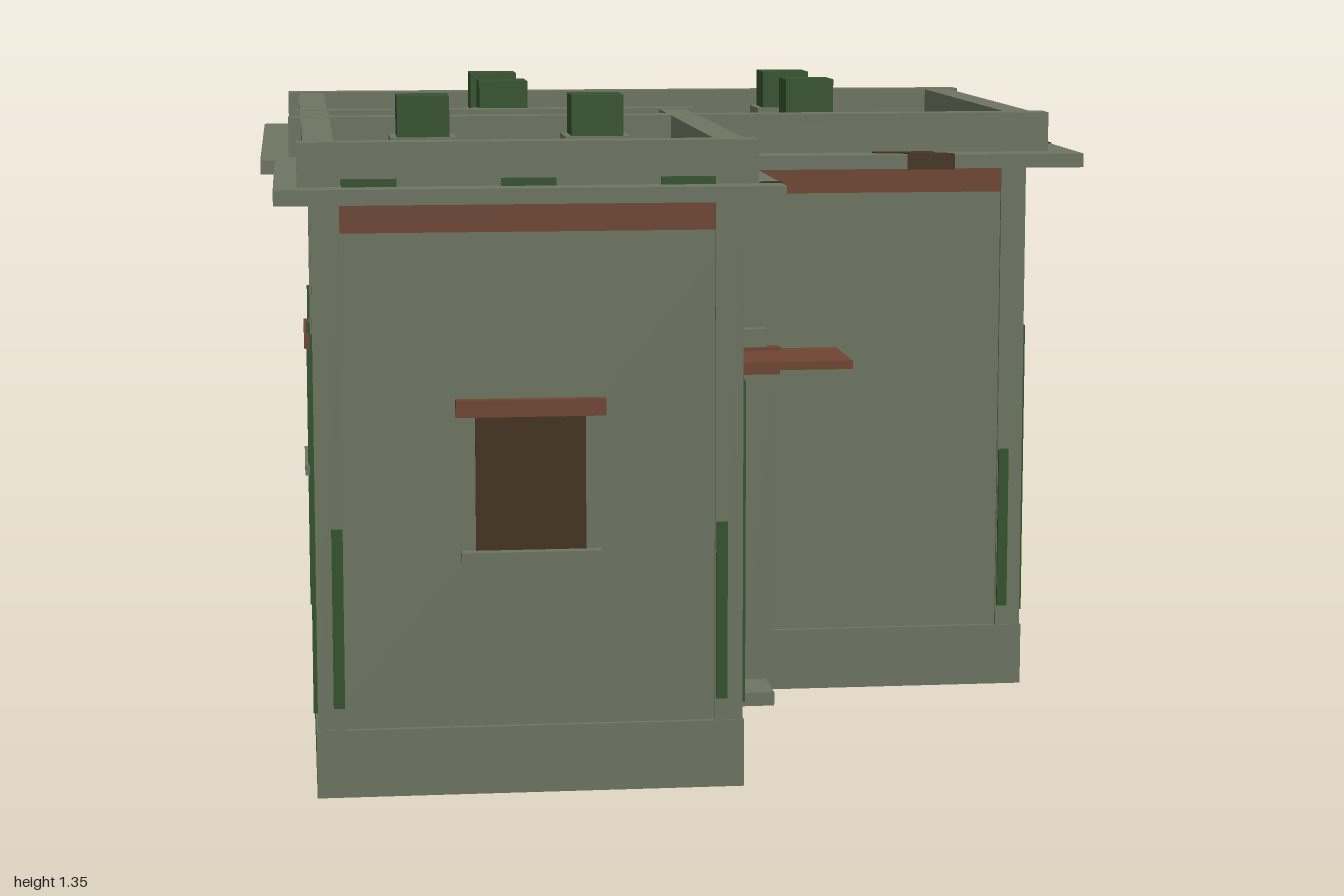
import * as THREE from 'three';

const mat = (name, color) => {
  const m = new THREE.MeshStandardMaterial({ color });
  m.name = name;
  return m;
};

export function createModel() {
  const root = new THREE.Group();
  root.name = 'house';
  const plaster = mat('greyGreenPlaster', 0x6d7562);
  const red = mat('rustRed', 0x6e4533);
  const brown = mat('darkBrown', 0x433321);
  const green = mat('deepGreen', 0x34522d);

  // Box from its minimum and maximum corners
  const box = (name, m, x0, x1, y0, y1, z0, z1, parent = root) => {
    const mesh = new THREE.Mesh(new THREE.BoxGeometry(x1 - x0, y1 - y0, z1 - z0), m);
    mesh.position.set((x0 + x1) / 2, (y0 + y1) / 2, (z0 + z1) / 2);
    mesh.name = name;
    parent.add(mesh);
    return mesh;
  };

  // One rectangular volume: recessed walls, frieze, corner posts, open plinth
  const block = (name, x0, x1, z0, z1) => {
    const g = new THREE.Group();
    g.name = name;
    root.add(g);
    const r = 0.008, f = 0.005, p = 0.055, t = 0.02;
    box('walls', plaster, x0 + r, x1 - r, 0.13, 1.11, z0 + r, z1 - r, g);
    box('frieze', red, x0 + f, x1 - f, 1.11, 1.17, z0 + f, z1 - f, g);
    const e = 0.003, a = x0 - e, b = x1 + e, c = z0 - e, d = z1 + e;
    box('plinthBack', plaster, a, b, 0, 0.135, c, c + t, g);
    box('plinthFront', plaster, a, b, 0, 0.135, d - t, d, g);
    box('plinthSide', plaster, a, a + t, 0, 0.135, c + t, d - t, g);
    box('plinthSide', plaster, b - t, b, 0, 0.135, c + t, d - t, g);
    for (const sx of [-1, 1]) for (const sz of [-1, 1]) {
      const px = sx < 0 ? x0 : x1 - p, pz = sz < 0 ? z0 : z1 - p;
      box('cornerPost', plaster, px, px + p, 0.13, 1.17, pz, pz + p, g);
      // Green foot under the post
      const fx = sx < 0 ? x0 + t : x1 - t - 0.08, fz = sz < 0 ? z0 + t : z1 - t - 0.08;
      box('postFoot', green, fx, fx + 0.08, 0.05, 0.13, fz, fz + 0.08, g);
      // Tall strip on the side face, short strip on the front or back face
      const cx = sx < 0 ? x0 : x1, cz = sz < 0 ? z0 : z1;
      const zi = cz - sz * 0.032, xi = cx - sx * 0.042;
      box('tallStrip', green, cx - 0.008, cx + 0.008, 0.165, 0.81, zi - 0.012, zi + 0.012, g);
      box('shortStrip', green, xi - 0.011, xi + 0.011, 0.18, 0.535, cz - 0.008, cz + 0.008, g);
    }
  };
  block('mainBlock', -0.785, 0.785, -0.89, 0.125);
  block('frontWing', -0.79, 0.047, -0.165, 0.927);

  // Roof slabs
  box('mainRoofSlab', plaster, -0.89, 0.89, 1.17, 1.2, -1, 0.225);
  box('wingRoofSlab', plaster, -0.86, 0.12, 1.17, 1.2, 0.225, 1);

  // Parapets: long front and back bars with shorter side bars between
  const parapet = (x0, x1, xi, xo, z0, z1) => {
    const w = 0.06;
    box('parapetBack', plaster, x0, x1, 1.2, 1.285, z0, z0 + w);
    box('parapetFront', plaster, x0, x1, 1.2, 1.285, z1 - w, z1);
    for (const x of [xi, xo - w])
      box('parapetSide', plaster, x, x + w, 1.2, 1.284, z0 + w + 0.015, z1 - w - 0.015);
  };
  parapet(-0.83, 0.83, -0.805, 0.805, -0.92, 0.14);
  parapet(-0.815, 0.075, -0.803, 0.055, -0.17, 0.93);

  // Green drain marks at the foot of the wing parapet
  for (const x of [-0.678, -0.372, -0.063])
    box('drainMark', green, x - 0.053, x + 0.053, 1.2, 1.215, 0.93, 0.939);

  // Roof vents
  for (const [x, z] of [[-0.35, -0.575], [0.345, -0.575], [-0.35, -0.205], [0.345, -0.205], [-0.553, 0.375], [-0.192, 0.375]]) {
    box('ventCurb', plaster, x - 0.068, x + 0.068, 1.2, 1.26, z - 0.068, z + 0.068);
    box('ventCap', green, x - 0.054, x + 0.054, 1.26, 1.345, z - 0.054, z + 0.054);
  }

  // Windows, built facing +z and turned to their wall
  const windowAt = (name, x, z, turn) => {
    const g = new THREE.Group();
    g.name = name;
    box('pane', brown, -0.108, 0.108, 0.48, 0.755, -0.009, -0.004, g);
    box('lintel', red, -0.146, 0.146, 0.752, 0.785, -0.015, 0.018, g);
    box('sill', plaster, -0.137, 0.137, 0.463, 0.486, -0.015, 0.02, g);
    g.position.set(x, 0, z);
    g.rotation.y = turn;
    root.add(g);
  };
  windowAt('wingFrontWindow', -0.37, 0.927, 0);
  windowAt('wingSideWindow', 0.047, 0.388, Math.PI / 2);
  windowAt('mainLeftWindow', 0.785, -0.508, Math.PI / 2);
  windowAt('mainRightWindow', -0.785, -0.255, -Math.PI / 2);
  windowAt('backWindow', 0, -0.89, Math.PI);

  // Entrance tucked against the wing
  box('door', brown, 0.04, 0.156, 0.14, 0.72, 0.11, 0.123);
  box('doorJamb', plaster, 0.155, 0.217, 0.01, 0.72, 0.1, 0.15);
  box('doorLintel', red, 0.04, 0.235, 0.715, 0.775, 0.1, 0.155);
  box('canopy', red, 0.04, 0.365, 0.75, 0.768, 0.1, 0.338);
  box('canopyLedge', plaster, 0.04, 0.205, 0.775, 0.815, 0.1, 0.15);
  box('doorStep', plaster, 0.04, 0.207, 0, 0.03, 0.12, 0.278);

  // Worn patches wrapping the slab edges; outline is along the edge and inward
  const worn = (x, z, turn, pts) => {
    const g = new THREE.Group();
    g.name = 'wornPatch';
    const shape = new THREE.Shape(pts.map(([u, v]) => new THREE.Vector2(u, v)));
    const geo = new THREE.ExtrudeGeometry(shape, { depth: 0.034, bevelEnabled: false });
    geo.rotateX(-Math.PI / 2);
    const mesh = new THREE.Mesh(geo, brown);
    mesh.name = 'wornSlab';
    mesh.position.set(0, 1.168, 0.002);
    g.add(mesh);
    g.position.set(x, 0, z);
    g.rotation.y = turn;
    root.add(g);
  };
  worn(0.52, 0.225, 0, [[-0.02, 0], [0.085, 0], [0.08, 0.025], [0.05, 0.045], [0.05, 0.08],
    [-0.03, 0.085], [-0.085, 0.078], [-0.08, 0.055], [-0.03, 0.05], [-0.01, 0.02]]);
  worn(-0.58, -1, Math.PI, [[-0.12, 0], [0.12, 0], [0.11, 0.025], [0.06, 0.035], [0.045, 0.065],
    [-0.02, 0.068], [-0.06, 0.05], [-0.11, 0.045]]);
  worn(0.89, -0.125, Math.PI / 2, [[-0.035, 0], [0.03, 0], [0.04, 0.085], [-0.03, 0.085], [-0.042, 0.04]]);
  worn(0.12, 0.918, Math.PI / 2, [[-0.015, 0], [0.015, 0], [0.012, 0.035], [-0.005, 0.045]]);

  return root;
}
